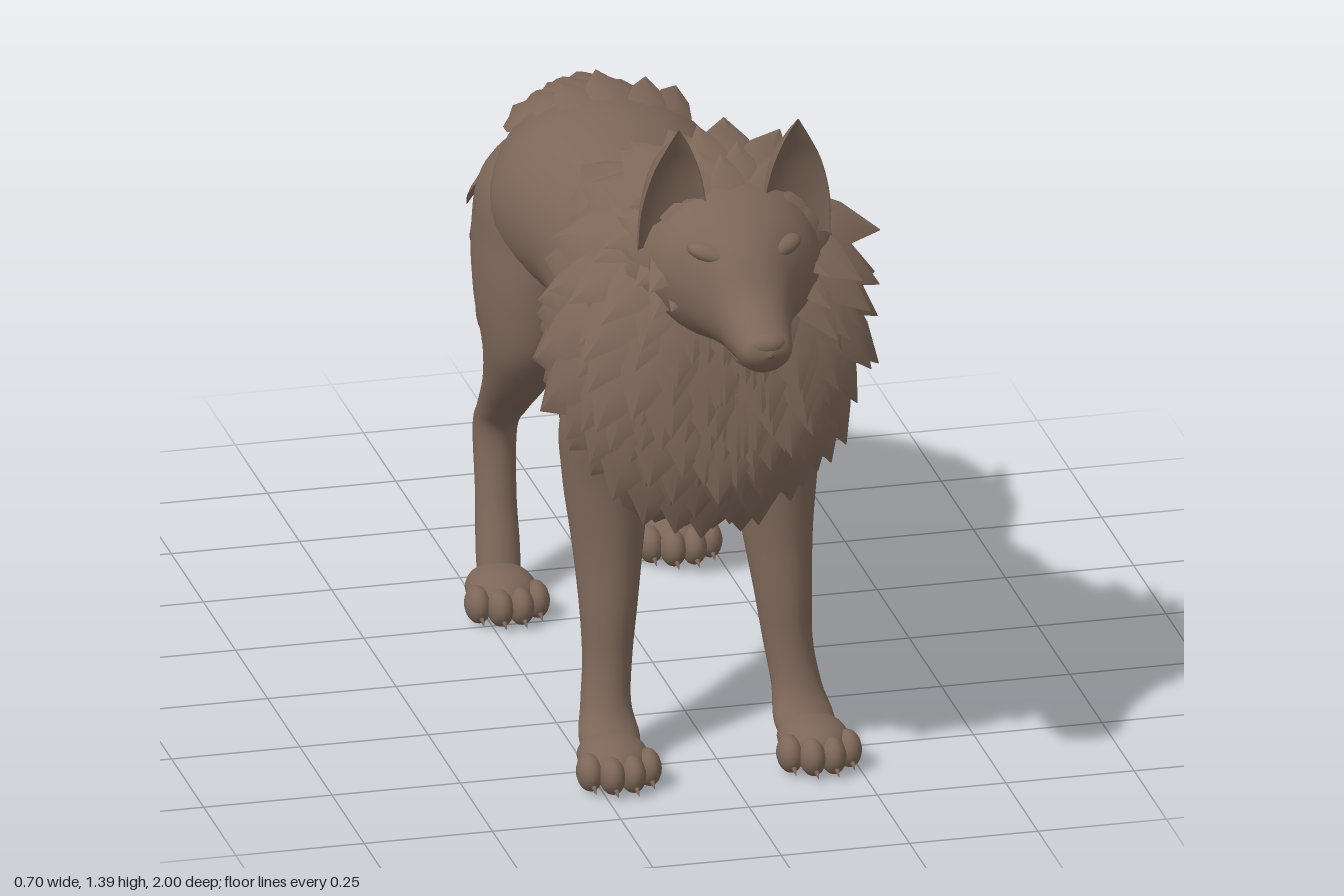
import * as THREE from 'three';
import { mergeGeometries } from 'three/addons/utils/BufferGeometryUtils.js';

const V = (x, y, z) => new THREE.Vector3(x, y, z);
const Z = V(0, 0, 1), DOWN = V(0, -1, 0);

let seed = 7;
const rand = () => (seed = (seed * 16807) % 2147483647) / 2147483647;

// Smooth body through oval sections [x, y, z, halfWidth, halfDepth]; axis fixes the section plane
function loft(sections, { axis = null, rows = 48, cols = 28, dent = 1 } = {}) {
  const path = new THREE.CatmullRomCurve3(sections.map(s => V(s[0], s[1], s[2])), false, 'catmullrom');
  const radii = new THREE.CatmullRomCurve3(sections.map(s => V(s[3], s[4], 0)), false, 'catmullrom');
  const at = (u, a) => {
    const t = axis || path.getTangent(u);
    const up = V().crossVectors(t, V(1, 0, 0)).normalize();
    const side = V().crossVectors(up, t).normalize();
    const r = radii.getPoint(u), s = Math.sin(a);
    return path.getPoint(u)
      .addScaledVector(side, Math.max(r.x, 0.001) * Math.cos(a))
      .addScaledVector(up, Math.max(r.y, 0.001) * (s < 0 ? s * dent : s));
  };
  const pos = [], idx = [];
  for (let i = 0; i <= rows; i++) {
    for (let j = 0; j < cols; j++) pos.push(...at(i / rows, j / cols * Math.PI * 2).toArray());
  }
  for (let i = 0; i < rows; i++) {
    for (let j = 0; j < cols; j++) {
      const a = i * cols + j, b = i * cols + (j + 1) % cols;
      idx.push(a, b, a + cols, b, b + cols, a + cols);
    }
  }
  return { at, path, geometry: build(pos, idx) };
}

function build(pos, idx) {
  const g = new THREE.BufferGeometry();
  g.setAttribute('position', new THREE.Float32BufferAttribute(pos, 3));
  g.setIndex(idx);
  g.computeVertexNormals();
  return g;
}

// One pointed, ridged lock of fur lying along dir
function tuft(p, n, dir, len, width, lift) {
  const d = dir.clone().addScaledVector(n, -dir.dot(n)).normalize();
  const s = V().crossVectors(d, n);
  const rows = [[0, 0.3, -0.08], [0.3, 0.5, 0.06], [0.62, 0.36, 0.08 + lift * 0.4], [1, 0.01, lift]];
  const pos = [], idx = [];
  rows.forEach(([t, w, h], i) => {
    for (const k of [-1, 0, 1]) {
      const q = p.clone().addScaledVector(d, t * len).addScaledVector(s, k * w * width)
        .addScaledVector(n, h * len + (k ? -0.3 * w * width : 0));
      pos.push(q.x, q.y, q.z);
    }
    if (i < 3) {
      for (const k of [0, 1]) {
        const a = i * 3 + k;
        idx.push(a, a + 1, a + 3, a + 1, a + 4, a + 3);
      }
    }
  });
  return build(pos, idx);
}

// Staggered rows of tufts over a loft; keep(p, n) selects where, flow(p, n, u) gives direction
function furOn(body, { from = 0, to = 1, rows, cols, len, width, lift = 0.1, keep = () => true, flow }) {
  const list = [];
  for (let i = 0; i < rows; i++) {
    for (let j = 0; j < cols; j++) {
      const u = from + (to - from) * (i + 0.3 + 0.4 * rand()) / rows;
      const a = (j + (i % 2) * 0.5 + (rand() - 0.5) * 0.3) / cols * Math.PI * 2;
      const k = 0.8 + 0.4 * rand(), e = 0.004;
      const p = body.at(u, a);
      const da = body.at(u, a + 0.02).sub(body.at(u, a - 0.02));
      const du = body.at(Math.min(1, u + e), a).sub(body.at(Math.max(0, u - e), a));
      const n = da.cross(du).normalize();
      if (keep(p, n)) list.push(tuft(p, n, flow(p, n, u), len * k, width * k, lift));
    }
  }
  return mergeGeometries(list);
}

export function createModel() {
  const fur = new THREE.MeshStandardMaterial({ color: 0x7c6658, side: THREE.DoubleSide });
  fur.name = 'brownFur';
  const root = new THREE.Group();
  root.name = 'wolf';
  const wolf = new THREE.Group();
  wolf.name = 'body';
  wolf.position.x = -0.02;
  root.add(wolf);
  const add = (name, geometry) => {
    const m = new THREE.Mesh(geometry, fur);
    m.name = name;
    wolf.add(m);
    return m;
  };
  const ball = (name, x, y, z, rx, ry, rz) =>
    add(name, new THREE.SphereGeometry(1, 18, 12).scale(rx, ry, rz).translate(x, y, z));

  // Torso, from rump to chest
  const torso = loft([
    [0, 0.9, -0.57, 0.01, 0.02], [0, 0.87, -0.54, 0.07, 0.09], [0, 0.85, -0.47, 0.14, 0.145],
    [0, 0.84, -0.38, 0.2, 0.185], [0, 0.85, -0.25, 0.228, 0.195], [0, 0.84, -0.1, 0.192, 0.18],
    [0, 0.8, 0, 0.168, 0.215], [0, 0.785, 0.1, 0.175, 0.265], [0, 0.785, 0.22, 0.21, 0.3],
    [0, 0.83, 0.36, 0.25, 0.33], [0, 0.88, 0.5, 0.265, 0.355], [0, 0.92, 0.62, 0.24, 0.315],
    [0, 0.95, 0.69, 0.185, 0.24], [0, 0.96, 0.725, 0.12, 0.17], [0, 0.96, 0.735, 0.005, 0.005],
  ], { axis: Z, rows: 90, cols: 44 });
  add('torso', torso.geometry);

  // Mane, back strip and rump fur
  add('mane', furOn(torso, {
    from: 0.45, to: 0.99, rows: 14, cols: 24, len: 0.17, width: 0.11, lift: 0.16,
    keep: (p, n) => n.y > -0.93 &&
      (p.z > 0.2 + (1 - p.y) * 0.42 || (Math.abs(p.x) < 0.09 && p.y > 0.9 && p.z > 0.06)),
    flow: (p, n) => V(0, -0.6 - 1.5 * Math.max(0, n.z), -1),
  }));
  add('rumpFur', furOn(torso, {
    from: 0.05, to: 0.31, rows: 8, cols: 22, len: 0.14, width: 0.085, lift: 0.05,
    keep: (p) => (p.y > 0.93 && Math.abs(p.x) < 0.125) || (p.z < -0.44 && p.y > 0.75),
    flow: () => V(0, -0.5, -1),
  }));

  // Head with muzzle
  const head = loft([
    [0, 1.09, 0.58, 0.1, 0.12], [0, 1.1, 0.67, 0.165, 0.155], [0, 1.095, 0.745, 0.16, 0.14],
    [0, 1.087, 0.8, 0.122, 0.122], [0, 1.068, 0.85, 0.085, 0.103], [0, 1.037, 0.9, 0.065, 0.073],
    [0, 1.021, 0.95, 0.054, 0.053], [0, 1.02, 0.983, 0.041, 0.03], [0, 1.02, 0.998, 0.002, 0.002],
  ], { axis: Z, rows: 60, cols: 32 });
  add('head', head.geometry);
  ball('nose', 0, 1.034, 0.966, 0.04, 0.024, 0.03);
  ball('lowerJaw', 0, 0.982, 0.87, 0.048, 0.024, 0.09);
  add('cheekFur', furOn(head, {
    from: 0.1, to: 0.24, rows: 3, cols: 20, len: 0.105, width: 0.075, lift: 0.16,
    flow: (p) => V(p.x * 1.5, -0.35, -1),
  }));

  // Ears, brows and eyes
  for (const s of [-1, 1]) {
    add('ear', loft([
      [s * 0.12, 1.14, 0.715, 0.068, 0.07], [s * 0.12, 1.22, 0.725, 0.064, 0.085],
      [s * 0.118, 1.295, 0.735, 0.048, 0.078], [s * 0.116, 1.35, 0.742, 0.025, 0.035],
      [s * 0.116, 1.392, 0.748, 0.002, 0.002],
    ], { rows: 20, cols: 24, dent: -0.3 }).geometry);
    const brow = ball('brow', 0, 0, 0, 0.048, 0.018, 0.025);
    brow.position.set(s * 0.068, 1.16, 0.806);
    brow.rotation.set(0, s * 0.5, s * 0.2);
    ball('eye', s * 0.075, 1.128, 0.82, 0.016, 0.009, 0.012);
  }

  // Paw with toes and claws
  const paw = (x, z) => {
    ball('paw', x, 0.045, z - 0.01, 0.068, 0.045, 0.088);
    [-0.057, -0.02, 0.02, 0.057].forEach((dx, i) => {
      const reach = i % 3 ? 0.062 : 0.035;
      ball('toe', x + dx, 0.037, z + reach, 0.025, 0.036, 0.04);
      add('claw', new THREE.ConeGeometry(0.009, 0.035, 8).rotateX(2.0)
        .translate(x + dx, 0.018, z + reach + 0.036));
    });
  };

  // Front legs
  for (const s of [-1, 1]) {
    const leg = loft([
      [s * 0.12, 0.82, 0.38, 0.07, 0.11], [s * 0.155, 0.67, 0.37, 0.093, 0.11],
      [s * 0.163, 0.55, 0.37, 0.084, 0.09], [s * 0.165, 0.42, 0.387, 0.068, 0.075],
      [s * 0.17, 0.3, 0.412, 0.055, 0.063], [s * 0.176, 0.2, 0.428, 0.047, 0.055],
      [s * 0.186, 0.12, 0.457, 0.048, 0.05], [s * 0.19, 0.06, 0.505, 0.058, 0.05],
      [s * 0.19, 0.012, 0.53, 0.03, 0.03],
    ], { axis: DOWN });
    add('frontLeg', leg.geometry);
    add('elbowFur', furOn(leg, {
      from: 0.14, to: 0.34, rows: 3, cols: 9, len: 0.1, width: 0.06, lift: 0.05,
      keep: (p, n) => n.z < -0.4, flow: () => V(0, -1, -0.3),
    }));
    add('wristSpur', tuft(V(s * 0.176, 0.21, 0.385), V(0, 0.2, -1).normalize(), DOWN, 0.07, 0.04, 0.15));
    paw(s * 0.195, 0.56);
  }

  // Hind legs: thigh shared, the right one steps further forward
  const strides = [
    [1, [-0.33, -0.375, -0.45, -0.53, -0.57, -0.57, -0.555, -0.53], -0.525],
    [-1, [-0.31, -0.295, -0.345, -0.42, -0.46, -0.43, -0.39, -0.35], -0.31],
  ];
  const shin = [[0.65, 0.098, 0.15], [0.55, 0.08, 0.11], [0.46, 0.062, 0.08], [0.38, 0.048, 0.06],
    [0.32, 0.042, 0.05], [0.2, 0.039, 0.042], [0.1, 0.042, 0.044], [0.02, 0.04, 0.04]];
  for (const [s, zs, pawZ] of strides) {
    const leg = loft([
      [s * 0.08, 1.0, -0.32, 0.03, 0.05], [s * 0.125, 0.88, -0.325, 0.095, 0.155],
      [s * 0.14, 0.76, -0.33, 0.102, 0.175],
      ...shin.map(([y, rx, rz], i) => [s * (0.148 + i * 0.006), y, zs[i], rx, rz]),
    ], { axis: DOWN, rows: 60 });
    add('hindLeg', leg.geometry);
    add('thighFur', furOn(leg, {
      from: 0.1, to: 0.32, rows: 5, cols: 15, len: 0.14, width: 0.09, lift: 0.08,
      keep: (p, n) => n.z < -0.4, flow: () => V(0, -1, -0.25),
    }));
    paw(s * 0.195, pawZ);
  }

  // Bushy tail sweeping to the left
  const tail = loft([
    [0, 0.95, -0.42, 0.05, 0.06], [0, 0.86, -0.52, 0.06, 0.085], [0.01, 0.74, -0.615, 0.07, 0.11],
    [0.06, 0.61, -0.71, 0.08, 0.13], [0.16, 0.49, -0.8, 0.086, 0.128], [0.24, 0.385, -0.865, 0.072, 0.1],
    [0.262, 0.28, -0.893, 0.045, 0.06], [0.25, 0.18, -0.9, 0.005, 0.005],
  ]);
  add('tail', tail.geometry);
  add('tailFur', furOn(tail, {
    from: 0.1, to: 0.9, rows: 12, cols: 10, len: 0.17, width: 0.11, lift: 0.1,
    flow: (p, n, u) => tail.path.getTangent(u),
  }));
  return root;
}
